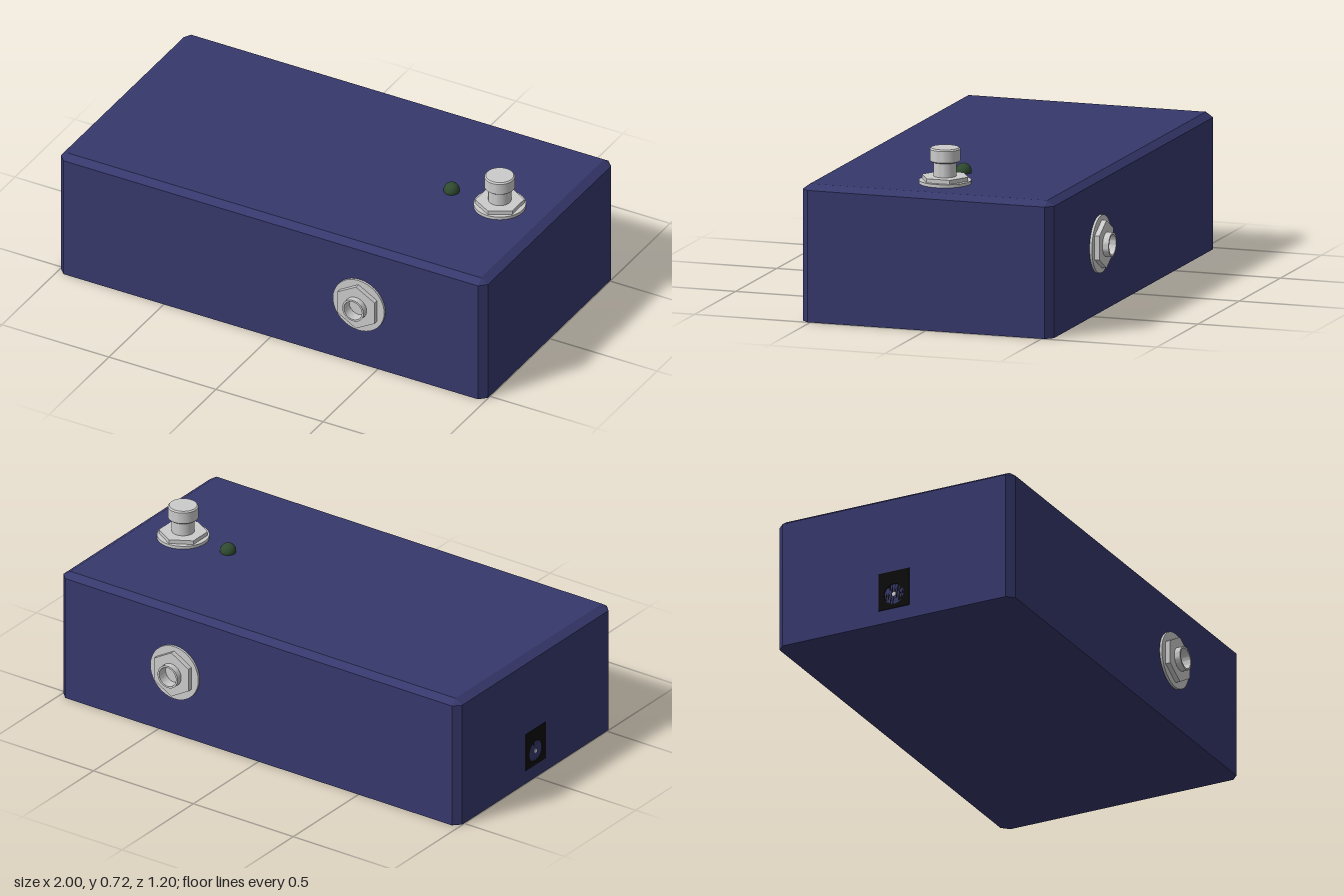
import * as THREE from 'three';
import { toCreasedNormals } from 'three/addons/utils/BufferGeometryUtils.js';
import { ConvexGeometry } from 'three/addons/geometries/ConvexGeometry.js';

const paint = (color) => new THREE.MeshStandardMaterial({ color });
const metal = paint(0xcccccc);
const navy = paint(0x36386c);
const black = paint(0x0b0b0b);
const green = paint(0x2f4a2f);

function add(parent, name, geometry, material, x = 0, y = 0, z = 0) {
  const mesh = new THREE.Mesh(geometry, material);
  mesh.name = name;
  mesh.position.set(x, y, z);
  parent.add(mesh);
  return mesh;
}

// Turned part from [radius, height] pairs, listed from the base upwards
function turned(profile, segments = 40) {
  const points = profile.map(([r, h]) => new THREE.Vector2(r, h));
  return toCreasedNormals(new THREE.LatheGeometry(points, segments), 0.5);
}

const disc = (r, h0, h1) => turned([[0, h0], [r, h0], [r, h1], [0, h1]]);

// Six-sided nut with its base at height h0
function hexNut(r, h0, h1) {
  const nut = new THREE.CylinderGeometry(r, r, h1 - h0, 6).translate(0, (h0 + h1) / 2, 0);
  return toCreasedNormals(nut, 0.5);
}

// Box with chamfered upright and top edges
function enclosureGeometry(w, h, d, cut) {
  const points = [];
  for (const sx of [-1, 1]) {
    for (const sz of [-1, 1]) {
      for (const y of [0, h - 0.022]) {
        points.push(new THREE.Vector3(sx * w, y, sz * (d - cut)));
        points.push(new THREE.Vector3(sx * (w - cut), y, sz * d));
      }
      points.push(new THREE.Vector3(sx * (w - cut - 0.004), h, sz * (d - cut)));
    }
  }
  return new ConvexGeometry(points);
}

// Threaded socket with washer and nut, built along +y
function audioSocket(name) {
  const socket = new THREE.Group();
  socket.name = name;
  add(socket, 'socketWasher', disc(0.12, -0.01, 0.01), metal);
  add(socket, 'socketNut', new THREE.ExtrudeGeometry(hexRing(0.1, 0.046), {
    depth: 0.022, bevelEnabled: false, curveSegments: 24,
  }).rotateX(-Math.PI / 2).translate(0, 0.009, 0), metal);
  add(socket, 'socketBarrel', turned([
    [0.05, 0], [0.05, 0.057], [0.042, 0.057], [0.042, 0.012], [0, 0.012],
  ]), metal);
  return socket;
}

// Hexagon with a round hole
function hexRing(r, hole) {
  const shape = new THREE.Shape();
  for (let i = 0; i < 6; i++) {
    const a = Math.PI / 2 + i * Math.PI / 3;
    if (i === 0) shape.moveTo(r * Math.cos(a), r * Math.sin(a));
    else shape.lineTo(r * Math.cos(a), r * Math.sin(a));
  }
  shape.closePath();
  shape.holes.push(new THREE.Path().absarc(0, 0, hole, 0, Math.PI * 2, true));
  return shape;
}

// Push switch with washer, nut, shaft and button cap
function footSwitch() {
  const group = new THREE.Group();
  group.name = 'footSwitch';
  add(group, 'switchWasher', disc(0.107, -0.01, 0.013), metal);
  add(group, 'switchNut', hexNut(0.1, 0.012, 0.03), metal);
  add(group, 'switchShaft', disc(0.047, 0.02, 0.1), metal);
  add(group, 'switchCap', turned([
    [0, 0.09], [0.058, 0.09], [0.0625, 0.094], [0.0625, 0.142], [0.057, 0.148], [0, 0.148],
  ]), metal);
  return group;
}

// Power inlet on the side: plate with a round opening and centre pin, facing -x
function powerInlet() {
  const group = new THREE.Group();
  group.name = 'powerInlet';
  const plate = new THREE.Shape();
  plate.moveTo(-0.07, -0.083);
  plate.lineTo(0.07, -0.083);
  plate.lineTo(0.07, 0.083);
  plate.lineTo(-0.07, 0.083);
  plate.closePath();
  plate.holes.push(new THREE.Path().absarc(0, -0.02, 0.045, 0, Math.PI * 2, true));
  add(group, 'inletPlate', new THREE.ExtrudeGeometry(plate, {
    depth: 0.004, bevelEnabled: false, curveSegments: 20,
  }), black);
  add(group, 'inletFloor', new THREE.CircleGeometry(0.046, 32), black, 0, -0.02, 0.001);
  add(group, 'inletPin', disc(0.009, 0, 0.003).rotateX(Math.PI / 2), metal, 0, -0.02, 0.001);
  return group;
}

export function createModel() {
  const model = new THREE.Group();
  model.name = 'effectPedal';
  const top = 0.57, depth = 0.543;

  add(model, 'enclosure', enclosureGeometry(0.998, top, depth, 0.03), navy);

  // Matching sockets on the front and back walls
  for (const side of [1, -1]) {
    const socket = audioSocket(side > 0 ? 'frontSocket' : 'backSocket');
    socket.rotation.x = side * Math.PI / 2;
    socket.position.set(0.415, 0.287, side * depth);
    model.add(socket);
  }

  const button = footSwitch();
  button.position.set(0.765, top, 0);
  model.add(button);

  add(model, 'indicatorLight', new THREE.SphereGeometry(0.033, 24, 16), green, 0.54, 0.577, 0);

  const inlet = powerInlet();
  inlet.rotation.y = -Math.PI / 2;
  inlet.position.set(-0.997, 0.142, 0);
  model.add(inlet);

  return model;
}
